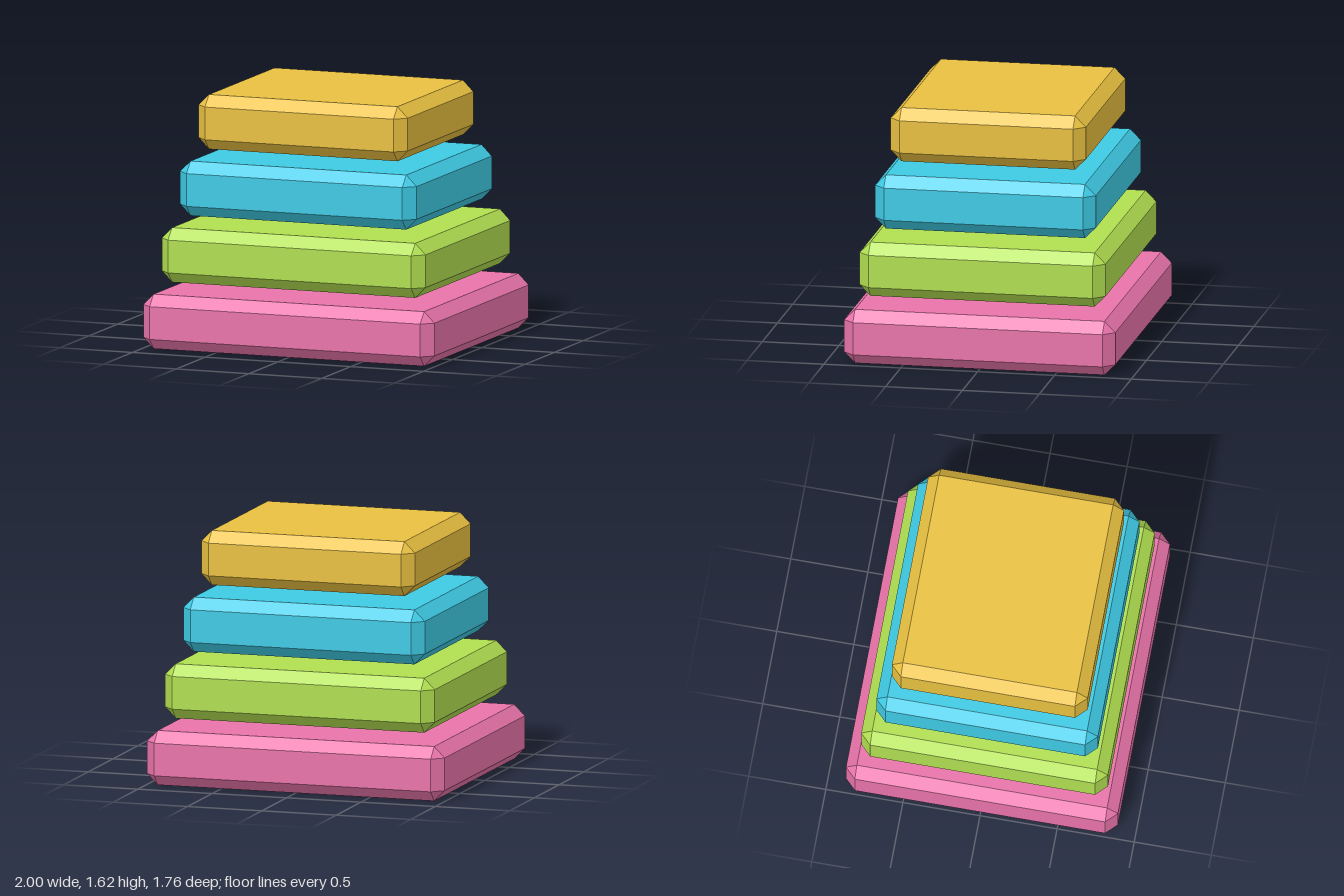
import * as THREE from 'three';
import { ConvexGeometry } from 'three/addons/geometries/ConvexGeometry.js';

const HEIGHT = 0.353;
const SPACING = 0.4235;
const BEVEL = 0.0706;

// Box with every edge chamfered and each corner cut to a triangle
function chamferedBox(hx, hy, hz, c) {
  const points = [];
  for (const sx of [-1, 1]) for (const sy of [-1, 1]) for (const sz of [-1, 1]) {
    points.push(
      new THREE.Vector3(sx * hx, sy * (hy - c), sz * (hz - c)),
      new THREE.Vector3(sx * (hx - c), sy * hy, sz * (hz - c)),
      new THREE.Vector3(sx * (hx - c), sy * (hy - c), sz * hz)
    );
  }
  return new ConvexGeometry(points);
}

export function createModel() {
  const model = new THREE.Group();
  model.name = 'slabStack';

  // Four floating slabs, each smaller than the one below
  const slabs = [
    { name: 'bottomSlab', color: 0xe873aa, hx: 1.0, hz: 0.882 },
    { name: 'lowerMiddleSlab', color: 0xb0de50, hx: 0.906, hz: 0.8 },
    { name: 'upperMiddleSlab', color: 0x3ecae4, hx: 0.812, hz: 0.718 },
    { name: 'topSlab', color: 0xe8c040, hx: 0.718, hz: 0.635 },
  ];
  slabs.forEach(({ name, color, hx, hz }, i) => {
    const material = new THREE.MeshStandardMaterial({ color, flatShading: true });
    const slab = new THREE.Mesh(chamferedBox(hx, HEIGHT / 2, hz, BEVEL), material);
    slab.name = name;
    slab.position.y = HEIGHT / 2 + i * SPACING;
    model.add(slab);
  });
  return model;
}
